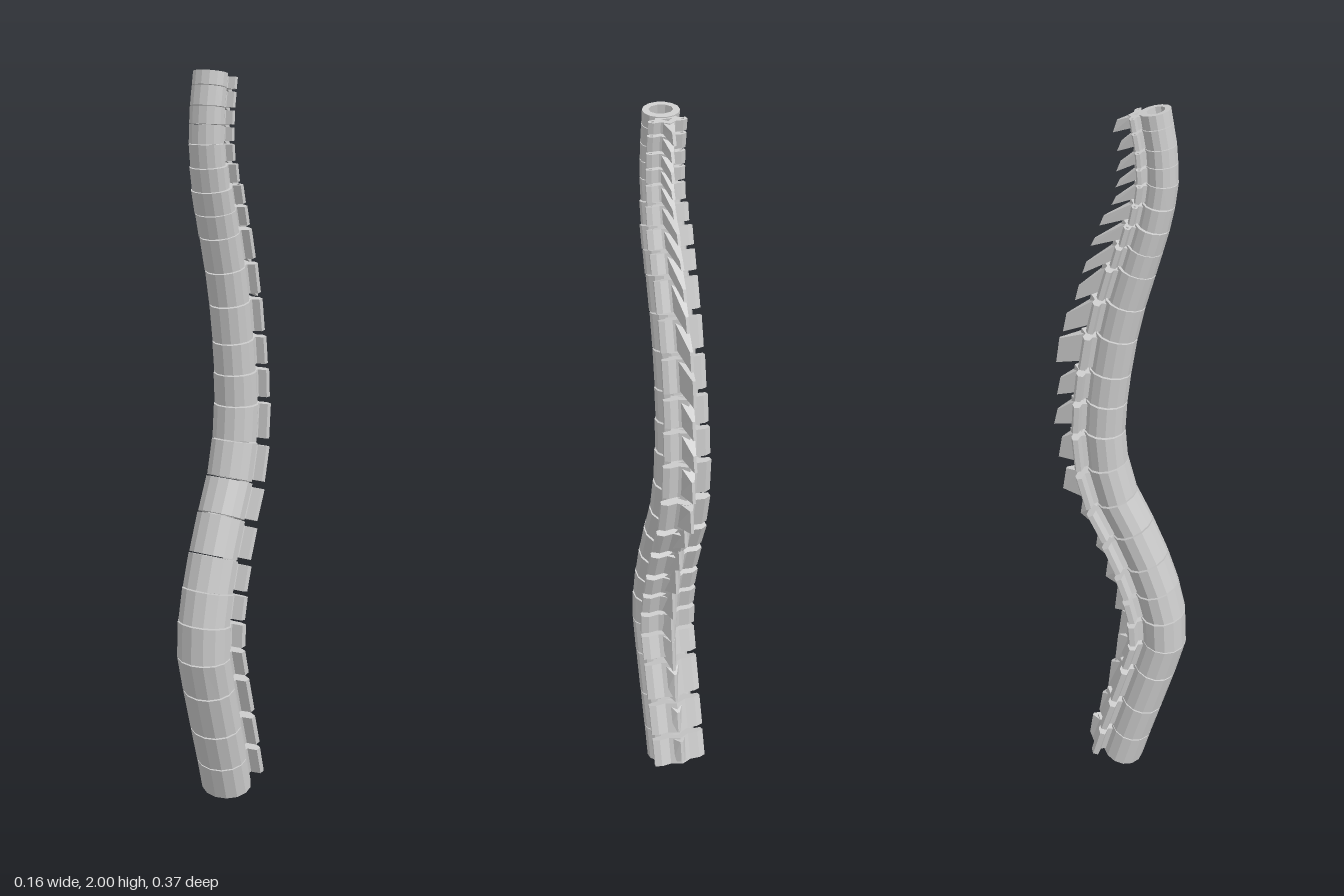
import * as THREE from 'three';

const material = new THREE.MeshStandardMaterial({ color: 0xcccccc, flatShading: true, side: THREE.DoubleSide });

// Front edge of the column, top to bottom: [y, z]
const frontCurve = [[2, 0.12], [1.9, 0.138], [1.8, 0.142], [1.7, 0.122], [1.6, 0.095], [1.5, 0.066], [1.4, 0.044],
  [1.3, 0.028], [1.2, 0.016], [1.08, 0.01], [0.95, 0.042], [0.84, 0.095], [0.7, 0.152], [0.57, 0.185],
  [0.45, 0.19], [0.35, 0.165], [0.2, 0.122], [0.1, 0.093], [0, 0.066]];
// Heights of the joints between the 24 vertebrae
const joints = [2, 1.965, 1.915, 1.87, 1.82, 1.76, 1.7, 1.64, 1.58, 1.49, 1.4, 1.3, 1.215, 1.13, 1.04, 0.945,
  0.855, 0.75, 0.655, 0.56, 0.45, 0.34, 0.21, 0.1, 0];
// Tip of each rear spine: [z, top y, bottom y]
const tips = [[-0.018, 1.965, 1.935], [-0.008, 1.915, 1.89], [-0.01, 1.865, 1.84], [-0.012, 1.82, 1.8],
  [-0.022, 1.775, 1.755], [-0.052, 1.725, 1.7], [-0.075, 1.665, 1.645], [-0.097, 1.6, 1.57],
  [-0.117, 1.535, 1.495], [-0.15, 1.455, 1.405], [-0.17, 1.385, 1.315], [-0.17, 1.27, 1.22],
  [-0.18, 1.175, 1.13], [-0.17, 1.09, 1.03], [-0.16, 0.995, 0.93], [-0.112, 0.925, 0.855],
  [-0.07, 0.825, 0.75], [-0.043, 0.735, 0.65], [-0.017, 0.635, 0.54], [-0.006, 0.54, 0.45],
  [-0.017, 0.45, 0.35], [-0.038, 0.345, 0.25], [-0.065, 0.222, 0.155], [-0.095, 0.132, 0.063]];
// Half width and body depth along the height: [y, half width, depth]
const sizes = [[2, 0.047, 0.077], [1.76, 0.049, 0.078], [1.69, 0.058, 0.085], [1.5, 0.055, 0.102],
  [1.3, 0.056, 0.11], [1.1, 0.064, 0.11], [0.9, 0.069, 0.115], [0.7, 0.074, 0.123], [0.5, 0.079, 0.128], [0, 0.076, 0.122]];

function sample(table, y, column) {
  let i = 0;
  while (i < table.length - 2 && table[i + 1][0] > y) i++;
  const [a, b] = [table[i], table[i + 1]];
  return THREE.MathUtils.lerp(a[column], b[column], (a[0] - y) / (a[0] - b[0]));
}

// Joint plane: front point plus a backward direction square to the curve
function frameAt(y) {
  const step = 0.06, top = Math.min(2, y + step), low = Math.max(0, y - step);
  const tangent = new THREE.Vector3(0, top - low, sample(frontCurve, top, 1) - sample(frontCurve, low, 1)).normalize();
  return { origin: new THREE.Vector3(0, y, sample(frontCurve, y, 1)), back: new THREE.Vector3(0, tangent.z, -tangent.y) };
}

// Place (x, depth behind front, share of height) between two joint planes
function place(lower, upper, x, depth, share) {
  const point = lower.origin.clone().lerp(upper.origin, share);
  const back = lower.back.clone().lerp(upper.back, share).normalize();
  return point.addScaledVector(back, depth).setX(x);
}

function ellipse(cx, cy, rx, ry, sides) {
  return Array.from({ length: sides }, (_, i) => {
    const a = ((i + 0.5) / sides) * Math.PI * 2;
    return new THREE.Vector2(cx + rx * Math.cos(a), cy + ry * Math.sin(a));
  });
}

function mirrored(points) {
  const left = points.filter(([x]) => x > 0).reverse().map(([x, y]) => [-x, y]);
  return points.concat(left).map(([x, y]) => new THREE.Vector2(x, y));
}

// Extrude a plan shape between the joint planes
function slab(shape, from, to, lower, upper) {
  const geometry = new THREE.ExtrudeGeometry(shape, { depth: to - from, bevelEnabled: false });
  const position = geometry.attributes.position;
  for (let i = 0; i < position.count; i++) {
    const p = place(lower, upper, position.getX(i), position.getY(i), from + position.getZ(i));
    position.setXYZ(i, p.x, p.y, p.z);
  }
  geometry.computeVertexNormals();
  return geometry;
}

// Wedge running from the arch to a thin tip
function spineGeometry(w, d, tip, lower, upper) {
  const geometry = new THREE.BoxGeometry(1, 1, 1);
  const position = geometry.attributes.position;
  for (let i = 0; i < position.count; i++) {
    const side = Math.sign(position.getX(i)), high = position.getY(i) > 0;
    const p = position.getZ(i) > 0
      ? place(lower, upper, side * w * 0.32, d * 1.2, high ? 0.88 : 0.14)
      : new THREE.Vector3(side * 0.004, high ? tip[1] : tip[2], tip[0] + (high ? 0.01 : 0));
    position.setXYZ(i, p.x, p.y, p.z);
  }
  geometry.computeVertexNormals();
  return geometry;
}

function vertebra(i) {
  const group = new THREE.Group();
  group.name = 'vertebra' + (i + 1);
  const upper = frameAt(joints[i]), lower = frameAt(joints[i + 1]);
  const y = (joints[i] + joints[i + 1]) / 2;
  const w = sample(sizes, y, 1), d = sample(sizes, y, 2);
  const add = (name, geometry) => {
    const mesh = new THREE.Mesh(geometry, material);
    mesh.name = name;
    group.add(mesh);
  };

  // Hollow body
  const body = new THREE.Shape(ellipse(0, d / 2, w * 0.98, d / 2, 14));
  body.holes.push(new THREE.Path(ellipse(0, d * 0.48, w * 0.64, d * 0.29, 10)));
  add('body', slab(body, 0.015, 0.975, lower, upper));

  // Arch with side wings around the canal
  const arch = new THREE.Shape(mirrored([[0, d * 0.9], [w * 0.5, d * 0.88], [w * 0.62, d * 1.02], [w, d * 1.05],
    [w * 1.03, d * 1.17], [w * 0.78, d * 1.24], [w * 0.4, d * 1.22], [0, d * 1.36]]));
  arch.holes.push(new THREE.Path(mirrored([[0, d * 1.2], [w * 0.3, d * 1.04]])));
  if (i < 7) { // neck wings are pierced
    for (const side of [-1, 1]) arch.holes.push(new THREE.Path(ellipse(side * w * 0.8, d * 1.13, w * 0.1, d * 0.05, 4)));
  }
  add('arch', slab(arch, 0.08, 0.9, lower, upper));

  add('rearSpine', spineGeometry(w, d, tips[i], lower, upper));
  return group;
}

export function createModel() {
  const model = new THREE.Group();
  model.name = 'spine';
  for (let i = 0; i < tips.length; i++) model.add(vertebra(i));
  return model;
}
